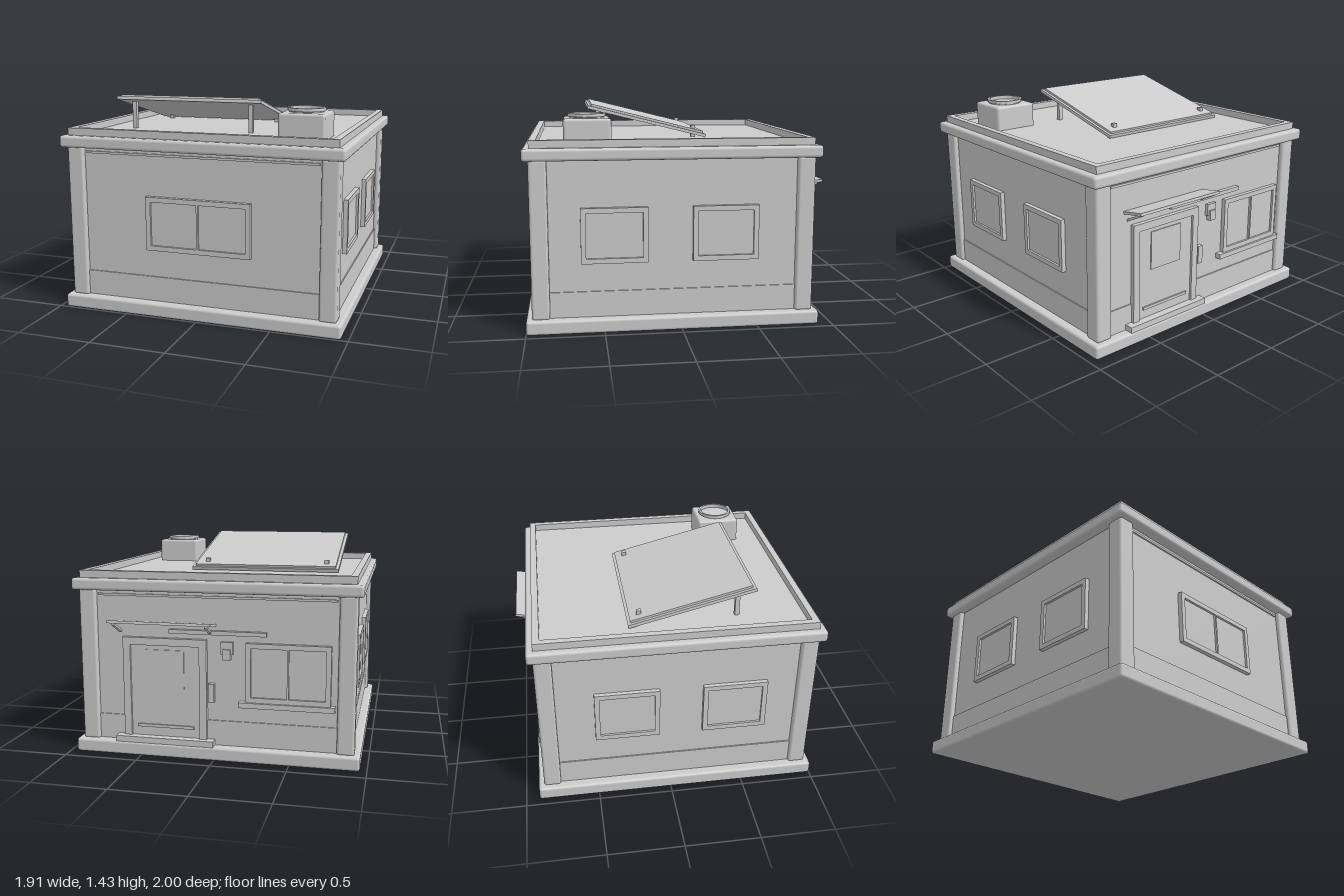
import * as THREE from 'three';
import { RoundedBoxGeometry } from 'three/addons/geometries/RoundedBoxGeometry.js';

const grey = new THREE.MeshStandardMaterial({ color: 0xcccccc });
grey.name = 'plain grey';

const CZ = 0.045;   // centre of the square building in z
const WALL = 0.885; // half width of the walls
const TILT = THREE.MathUtils.degToRad(14);

function add(parent, name, geometry, x = 0, y = 0, z = 0) {
  const mesh = new THREE.Mesh(geometry, grey);
  mesh.name = name;
  mesh.position.set(x, y, z);
  parent.add(mesh);
  return mesh;
}

// Box given by its limits on each axis, optionally with rounded edges
function box(parent, name, [x0, x1], [y0, y1], [z0, z1], radius = 0) {
  const size = [x1 - x0, y1 - y0, z1 - z0];
  const geometry = radius ? new RoundedBoxGeometry(...size, 2, radius) : new THREE.BoxGeometry(...size);
  return add(parent, name, geometry, (x0 + x1) / 2, (y0 + y1) / 2, (z0 + z1) / 2);
}

function rectangle(Type, x0, x1, y0, y1) {
  const path = new Type();
  path.moveTo(x0, y0);
  path.lineTo(x1, y0);
  path.lineTo(x1, y1);
  path.lineTo(x0, y1);
  path.closePath();
  return path;
}

// Extruded rectangular border with rectangular openings
function border(parent, name, outer, holes, depth) {
  const shape = rectangle(THREE.Shape, ...outer);
  shape.holes = holes.map((h) => rectangle(THREE.Path, ...h));
  return add(parent, name, new THREE.ExtrudeGeometry(shape, { depth, bevelEnabled: false }));
}

// Window frame with one or two recessed panes, on a wall at local z = 0
function windowUnit(parent, cx, halfWidth, y0, y1, panes) {
  const rim = 0.033, bar = 0.006;
  const l = cx - halfWidth, r = cx + halfWidth;
  const openings = panes === 2
    ? [[l + rim, cx - bar, y0 + rim, y1 - rim], [cx + bar, r - rim, y0 + rim, y1 - rim]]
    : [[l + rim, r - rim, y0 + rim, y1 - rim]];
  const g = new THREE.Group();
  g.name = 'window';
  parent.add(g);
  border(g, 'windowFrame', [l, r, y0, y1], openings, 0.03);
  openings.forEach(([a, b, c, d]) => box(g, 'windowPane', [a, b], [c, d], [0, 0.015]));
}

// Local frame of a wall, with +z pointing outward
function wallSide(parent, name, angle) {
  const g = new THREE.Group();
  g.name = name;
  g.rotation.y = angle;
  g.position.set(Math.sin(angle) * WALL, 0, CZ + Math.cos(angle) * WALL);
  parent.add(g);
  box(g, 'plinthBand', [-0.83, 0.83], [0.08, 0.26], [-0.01, 0.008]);
  return g;
}

function doorway(back) {
  const g = new THREE.Group();
  g.name = 'doorway';
  g.position.x = -0.335;
  back.add(g);
  border(g, 'doorFrame', [-0.285, 0.285, 0.1, 0.8], [[-0.235, 0.235, 0.13, 0.75]], 0.03);
  box(g, 'door', [-0.235, 0.235], [0.13, 0.75], [0, 0.014]);
  box(g, 'doorWindow', [-0.13, 0.13], [0.46, 0.72], [0.01, 0.021]);
  box(g, 'doorKickBar', [-0.195, 0.195], [0.19, 0.21], [0.01, 0.024]);
  box(g, 'doorStep', [-0.335, 0.335], [0.09, 0.13], [0, 0.068]);
  const awning = add(g, 'awning', new THREE.BoxGeometry(0.69, 0.018, 0.16), 0, 0.907, 0.079);
  awning.rotation.x = -0.17;
  // Diagonal awning struts
  for (const s of [-1, 1]) {
    const strut = add(g, 'awningStrut', new THREE.BoxGeometry(0.02, 0.015, 0.15), s * 0.31, 0.87, 0.065);
    strut.rotation.x = -0.46;
  }
}

function solarPanel(parent) {
  const g = new THREE.Group();
  g.name = 'solarPanel';
  parent.add(g);
  const tilted = new THREE.Group();
  tilted.name = 'tiltedPanel';
  tilted.position.set(-0.215, 1.304, 0.158);
  tilted.rotation.x = -TILT;
  g.add(tilted);
  box(tilted, 'panelTray', [-0.525, 0.525], [-0.011, 0.011], [-0.427, 0.427]);
  box(tilted, 'panelSurface', [-0.503, 0.503], [0.01, 0.026], [-0.407, 0.407]);
  for (const x of [-0.65, 0.21]) {
    box(g, 'frontLeg', [x - 0.015, x + 0.015], [1.18, 1.386], [0.455, 0.485]);
    box(g, 'rearLeg', [x - 0.015, x + 0.015], [1.18, 1.27], [-0.195, -0.165]);
  }
}

function roofVent(parent) {
  const g = new THREE.Group();
  g.name = 'roofVent';
  parent.add(g);
  box(g, 'ventHousing', [0.468, 0.773], [1.17, 1.357], [0.435, 0.742], 0.018);
  // Open collar with a recessed grille disc
  const profile = [[0.115, 1.35], [0.115, 1.362], [0.124, 1.364], [0.124, 1.385], [0.108, 1.385], [0.108, 1.36], [0, 1.36]]
    .map(([x, y]) => new THREE.Vector2(x, y));
  const collar = new THREE.LatheGeometry(profile, 18).toNonIndexed();
  collar.computeVertexNormals();
  add(g, 'ventCollar', collar, 0.62, 0, 0.588);
}

export function createModel() {
  const model = new THREE.Group();
  model.name = 'smallBuilding';
  const body = new THREE.Group();
  body.name = 'shell';
  body.position.z = CZ;
  model.add(body);

  // Base, walls, cornice and corner posts
  const full = [-0.955, 0.955], wall = [-WALL, WALL];
  box(body, 'baseSlab', full, [0, 0.092], full, 0.018);
  box(body, 'walls', wall, [0.08, 1.12], wall);
  box(body, 'cornice', full, [1.108, 1.187], full, 0.02);
  for (const sx of [-1, 1]) for (const sz of [-1, 1]) {
    const post = add(body, 'cornerPost', new RoundedBoxGeometry(0.115, 1.03, 0.115, 2, 0.018), sx * 0.86, 0.6, sz * 0.86);
    post.scale.y = 1.0;
  }

  // Parapet around the flat roof
  const parapet = border(body, 'parapet', [-0.91, 0.91, -0.91, 0.91], [[-0.865, 0.865, -0.865, 0.865]], 0.055);
  parapet.rotation.x = -Math.PI / 2;
  parapet.position.y = 1.18;

  // Walls with their fittings
  const front = wallSide(model, 'frontWall', 0);
  windowUnit(front, 0, 0.358, 0.446, 0.805, 2);
  box(front, 'topTrim', [-0.79, 0.79], [1.07, 1.085], [-0.01, 0.01]);
  for (const s of [-1, 1]) {
    const side = wallSide(model, s > 0 ? 'leftWall' : 'rightWall', s * Math.PI / 2);
    for (const z of [0.43, -0.29]) windowUnit(side, -s * (z - CZ), 0.215, 0.446, 0.805, 1);
  }

  const back = wallSide(model, 'backWall', Math.PI);
  box(back, 'topTrim', [-0.79, 0.79], [1.07, 1.085], [-0.01, 0.01]);
  doorway(back);
  windowUnit(back, 0.485, 0.275, 0.4, 0.79, 2);
  box(back, 'windowSill', [0.165, 0.79], [0.365, 0.4], [0, 0.045]);
  box(back, 'wallRail', [-0.3, 0.345], [0.835, 0.862], [0, 0.03]);
  box(back, 'lampMount', [0.045, 0.125], [0.71, 0.79], [0, 0.022]);
  box(back, 'lamp', [0.06, 0.11], [0.675, 0.745], [0, 0.035]);
  box(back, 'doorPanelBox', [-0.04, 0], [0.385, 0.51], [0, 0.03]);

  solarPanel(model);
  roofVent(model);
  return model;
}
